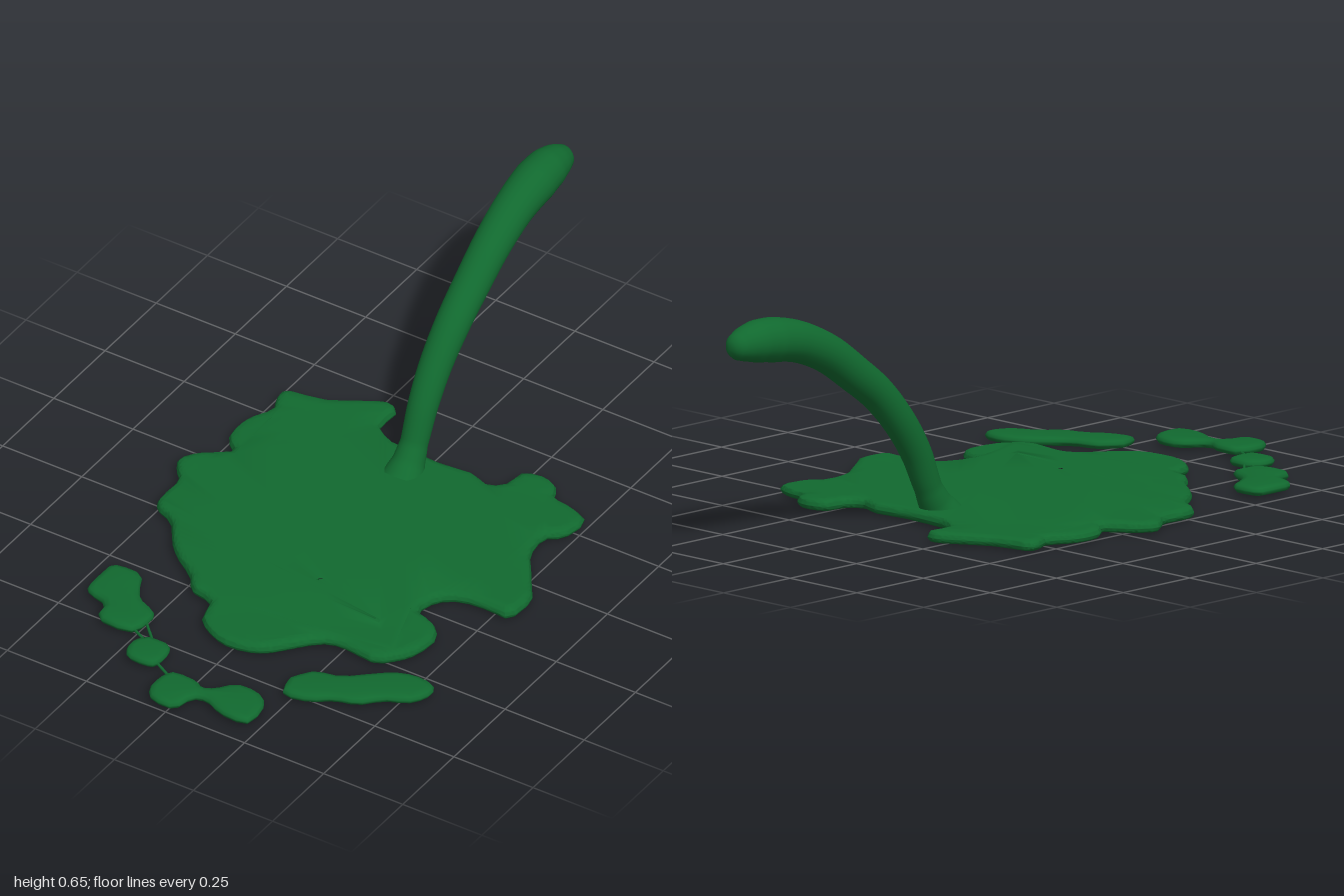
import * as THREE from 'three';
import { mergeVertices, toCreasedNormals } from 'three/addons/utils/BufferGeometryUtils.js';

const green = new THREE.MeshStandardMaterial({ color: 0x11692f });

// Outlines as x, z pairs seen from above
const leafOutline = [
  -.12, -.30, -.19, -.34, -.19, -.42, -.23, -.44, -.29, -.41, -.38, -.36, -.48, -.34, -.49, -.30,
  -.47, -.25, -.50, -.19, -.51, -.14, -.50, -.08, -.46, -.04, -.49, -.01, -.53, .02, -.56, .07,
  -.54, .11, -.51, .15, -.51, .24, -.49, .28, -.43, .31, -.38, .38, -.33, .43, -.26, .48,
  -.22, .53, -.15, .55, -.13, .62, -.08, .66, -.02, .68, .05, .67, .10, .64, .15, .58,
  .20, .53, .26, .52, .35, .53, .40, .49, .43, .44, .44, .36, .40, .31, .34, .29,
  .35, .22, .40, .18, .48, .17, .55, .17, .56, .08, .53, .03, .49, -.03, .45, -.09,
  .44, -.17, .48, -.21, .49, -.29, .43, -.32, .37, -.33, .35, -.37, .30, -.39, .24, -.37,
  .23, -.31, .19, -.28, .13, -.30, .03, -.29,
];
const leafHoles = [
  [.035, .315, .055, .345, .075, .33, .05, .32],
  [.26, .38, .27, .42, .295, .40, .28, .365],
];
const fragments = {
  leftOuterFragment: [.21, .72, .25, .66, .32, .64, .38, .59, .43, .55, .49, .53, .55, .54, .56, .58,
    .53, .63, .47, .66, .42, .71, .36, .73, .30, .77, .23, .78],
  rightOuterFragment: [-.46, .57, -.44, .55, -.37, .55, -.34, .60, -.31, .64, -.25, .67, -.24, .71,
    -.26, .77, -.36, .77, -.38, .71, -.44, .69, -.46, .66],
  rightInnerFragment: [-.20, .77, -.14, .77, -.12, .80, -.12, .85, -.14, .87, -.20, .87, -.225, .84, -.225, .80],
  frontFragment: [-.08, .90, -.06, .865, .01, .865, .04, .88, .07, .865, .11, .82, .18, .82, .22, .86,
    .22, .94, .14, .945, .08, .92, .04, .93, .02, .99, -.05, .99, -.08, .95],
};

function trace(path, xz) {
  const pts = [];
  for (let i = 0; i < xz.length; i += 2) pts.push(new THREE.Vector2(xz[i], xz[i + 1]));
  path.moveTo(pts[0].x, pts[0].y);
  path.splineThru([...pts.slice(1), pts[0].clone()]);
  return path;
}

// Splits every triangle into four so that the surface can undulate
function subdivide(geometry) {
  const p = geometry.getAttribute('position'), out = [];
  for (let i = 0; i < p.count; i += 3) {
    const [a, b, c] = [0, 1, 2].map(k => new THREE.Vector3().fromBufferAttribute(p, i + k));
    const ab = a.clone().lerp(b, .5), bc = b.clone().lerp(c, .5), ca = c.clone().lerp(a, .5);
    for (const v of [a, ab, ca, ab, b, bc, ca, bc, c, ab, bc, ca]) out.push(v.x, v.y, v.z);
  }
  return new THREE.BufferGeometry().setAttribute('position', new THREE.Float32BufferAttribute(out, 3));
}

// Thin slab with a rounded rim, lying between y = bottom and y = top
function slab(name, outline, holes, bottom, top, bevel) {
  const shape = trace(new THREE.Shape(), outline);
  shape.holes = holes.map(h => trace(new THREE.Path(), h));
  const thick = (top - bottom) * .42;
  let g = new THREE.ExtrudeGeometry(shape, {
    depth: top - bottom - 2 * thick, bevelThickness: thick, bevelSize: bevel,
    bevelOffset: -bevel, bevelSegments: 2, curveSegments: 2,
  });
  g.rotateX(Math.PI / 2).translate(0, top - thick, 0);
  if (g.index) g = g.toNonIndexed();
  return { name, g, bottom, top };
}

function slabMesh({ name, g }) {
  const mesh = new THREE.Mesh(toCreasedNormals(g, 1.1), green);
  mesh.name = name;
  return mesh;
}

// Main leaf: the top face swells gently and ripples
function leaf() {
  const s = slab('leaf', leafOutline, leafHoles, .004, .034, .022);
  s.g = subdivide(subdivide(s.g));
  const p = s.g.getAttribute('position');
  for (let i = 0; i < p.count; i++) {
    const x = p.getX(i), y = p.getY(i), z = p.getZ(i);
    const swell = .009 * Math.exp(-4 * (x * x + (z - .2) ** 2));
    const ripple = .0025 * Math.sin(13 * x + 4 * z) * Math.cos(15 * z - 3 * x);
    p.setY(i, y + Math.max(0, (y - .019) / .015) * (swell + ripple));
  }
  return slabMesh(s);
}

// Curved stalk: a tube whose rings follow a radius profile
function stalk() {
  const path = new THREE.CatmullRomCurve3([
    [-.025, .015, -.205], [-.025, .09, -.25], [-.025, .20, -.30], [-.025, .29, -.36], [-.022, .38, -.44],
    [-.022, .45, -.53], [-.022, .52, -.63], [-.024, .57, -.74], [-.025, .592, -.84],
    [-.025, .597, -.92], [-.02, .588, -1],
  ].map(v => new THREE.Vector3(...v)));
  const profile = [[0, .06], [.04, .045], [.09, .038], [.2, .042], [.4, .048], [.6, .052], [.75, .056],
    [.85, .061], [.91, .057], [.95, .047], [.98, .034], [.993, .02], [1, 0]];
  const radius = u => {
    const k = Math.max(1, profile.findIndex(q => q[0] >= u - 1e-6));
    const [a, b] = [profile[k - 1], profile[k]];
    return THREE.MathUtils.mapLinear(u, a[0], b[0], a[1], b[1]);
  };
  const rings = 100, sides = 20;
  const g = new THREE.TubeGeometry(path, rings, 1, sides);
  const p = g.getAttribute('position'), v = new THREE.Vector3();
  for (let i = 0; i <= rings; i++) {
    const centre = path.getPointAt(i / rings), r = radius(i / rings);
    for (let j = 0; j <= sides; j++) {
      const n = i * (sides + 1) + j;
      v.fromBufferAttribute(p, n).sub(centre).multiplyScalar(r).add(centre);
      p.setXYZ(n, v.x, Math.max(.006, v.y), v.z);
    }
  }
  g.deleteAttribute('uv');
  g.deleteAttribute('normal');
  const smooth = mergeVertices(g, 1e-5);
  smooth.computeVertexNormals();
  const mesh = new THREE.Mesh(smooth, green);
  mesh.name = 'stalk';
  return mesh;
}

// Fine thread joining two fragments
function thread(x1, z1, x2, z2) {
  const line = new THREE.LineCurve3(new THREE.Vector3(x1, .02, z1), new THREE.Vector3(x2, .02, z2));
  const mesh = new THREE.Mesh(new THREE.TubeGeometry(line, 1, .004, 6), green);
  mesh.name = 'thread';
  return mesh;
}

export function createModel() {
  const model = new THREE.Group();
  model.name = 'leafWithStalk';
  model.add(leaf(), stalk());
  for (const [name, outline] of Object.entries(fragments)) {
    model.add(slabMesh(slab(name, outline, [], .008, .034, .018)));
  }
  model.add(thread(-.27, .75, -.19, .79), thread(-.25, .71, -.16, .80), thread(-.14, .84, -.05, .89));
  return model;
}
